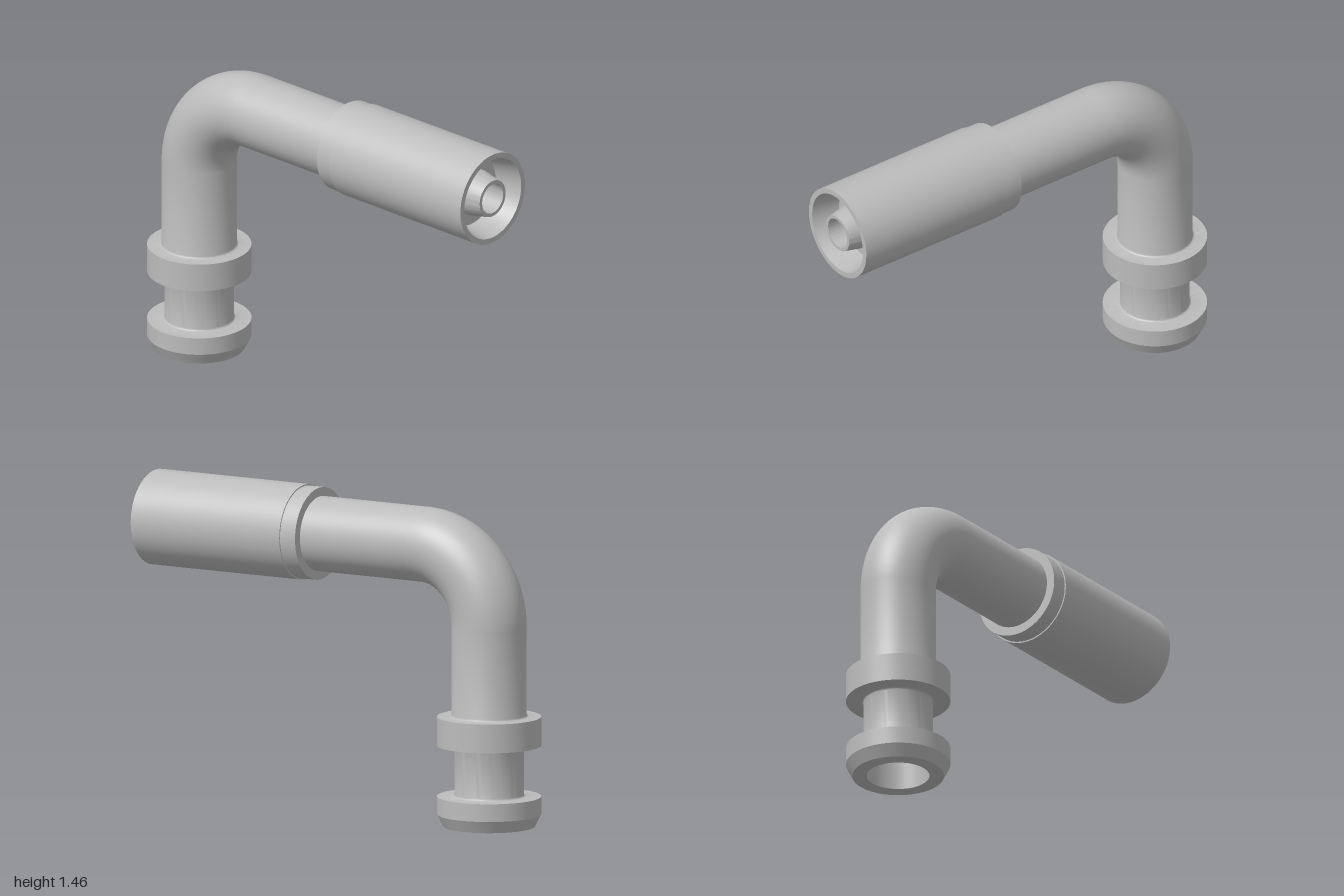
import * as THREE from 'three';
import { toCreasedNormals } from 'three/addons/utils/BufferGeometryUtils.js';

const STEM_X = -0.767, AXIS_Y = 1.243, BEND = 0.34;
const PIPE = 0.168, BORE = 0.14;

// Quarter-round points; centre (r, y), from angle a to angle b
function fillet(r, y, radius, a, b, steps = 6) {
  return Array.from({ length: steps + 1 }, (_, i) => {
    const t = a + (b - a) * i / steps;
    return [r + radius * Math.cos(t), y + radius * Math.sin(t)];
  });
}

// Turned part from [radius, height] points
function turned(profile) {
  const points = profile.map(([r, y]) => new THREE.Vector2(r, y));
  return toCreasedNormals(new THREE.LatheGeometry(points, 72), 0.4);
}

export function createModel() {
  const group = new THREE.Group();
  const steel = new THREE.MeshStandardMaterial({ color: 0xbcbcbc, side: THREE.DoubleSide });
  steel.name = 'steel grey';
  const add = (name, geometry, x, y) => {
    const mesh = new THREE.Mesh(geometry, steel);
    mesh.name = name;
    mesh.position.set(x, y, 0);
    group.add(mesh);
    return mesh;
  };
  const P = Math.PI;
  const bendY = AXIS_Y - BEND, bendX = STEM_X + BEND;

  // Upright stem: bore, chamfered foot, grooved neck, upper collar, pipe
  add('stem', turned([
    [BORE, bendY], [BORE, 0], [0.205, 0], [0.233, 0.055], [0.233, 0.135],
    ...fillet(0.167, 0.147, 0.012, -P / 2, -P),
    ...fillet(0.167, 0.353, 0.012, P, P / 2),
    [0.233, 0.365], [0.233, 0.495],
    ...fillet(0.18, 0.507, 0.012, -P / 2, -P),
    [PIPE, bendY],
  ]), STEM_X, 0);

  // Quarter bend, outside and bore
  for (const [name, radius] of [['bend', PIPE], ['bendBore', BORE]]) {
    const arc = new THREE.TorusGeometry(BEND, radius, 72, 40, P / 2);
    arc.rotateZ(P / 2);
    add(name, arc, bendX, bendY);
  }

  // Horizontal pipe with its bore
  const arm = add('arm', turned([
    [PIPE, bendX], [PIPE, 0.3], [BORE, 0.3], [BORE, bendX],
  ]), 0, AXIS_Y);

  // Sleeve with step, tapered socket and hollow tapered nipple
  const sleeve = add('sleeve', turned([
    [PIPE, 0.13], [0.208, 0.13], [0.208, 0.21], [0.214, 0.21], [0.214, 1],
    [0.189, 1], [0.163, 0.87], [0.106, 0.87], [0.106, 0.9], [0.086, 1],
    [0.07, 1], [0.07, 0.3], [BORE, 0.3],
  ]), 0, AXIS_Y);
  arm.rotation.z = sleeve.rotation.z = -P / 2;

  return group;
}
